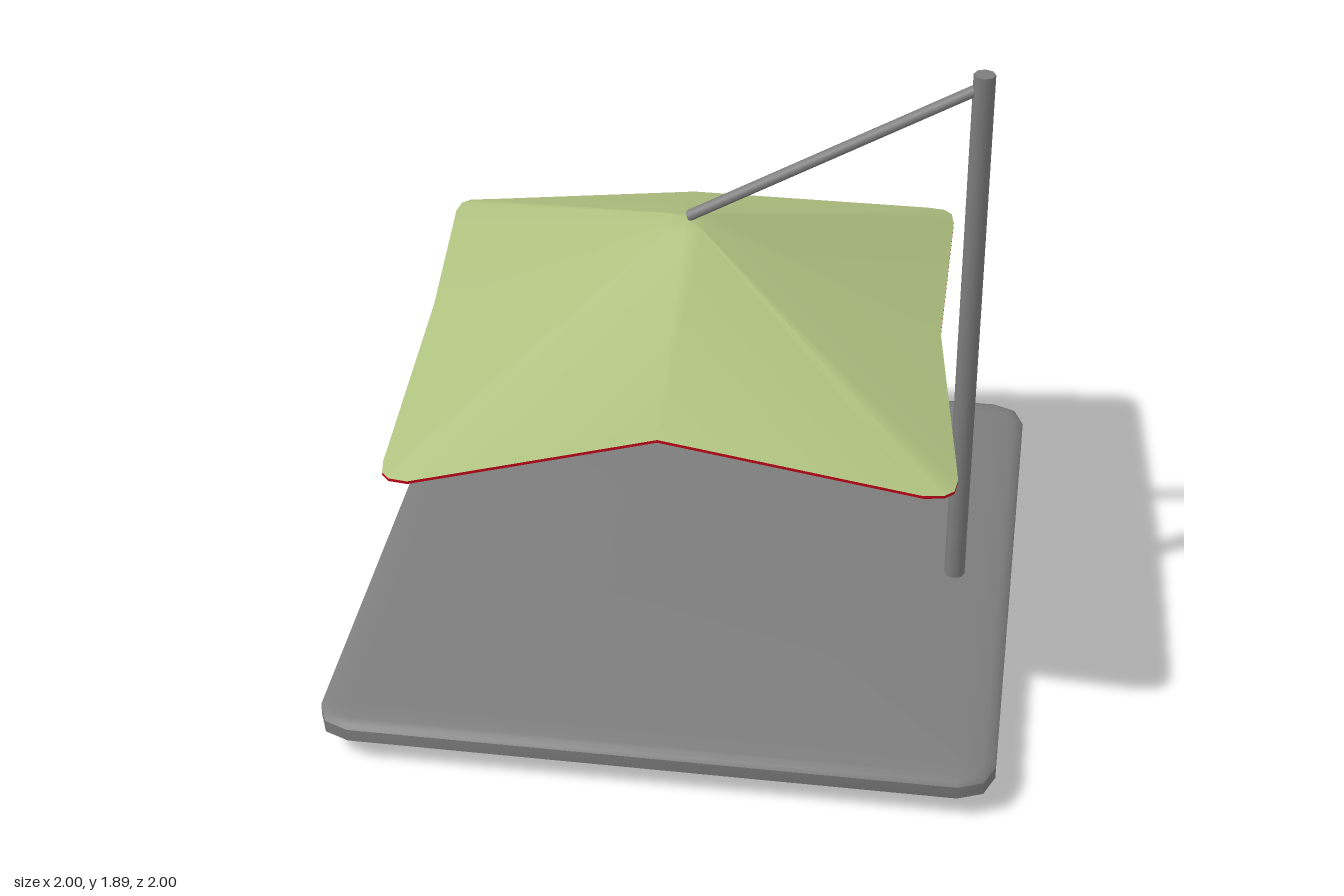
import * as THREE from 'three';
import { mergeVertices, toCreasedNormals } from 'three/addons/utils/BufferGeometryUtils.js';

const grey = new THREE.MeshStandardMaterial({ color: 0x7d7d7d, side: THREE.DoubleSide });
grey.name = 'grey';
const green = new THREE.MeshStandardMaterial({ color: 0xafc180 });
green.name = 'leafGreen';
const red = new THREE.MeshStandardMaterial({ color: 0xc60518 });
red.name = 'brightRed';

// Skin a stack of closed rings of equal length; rings run counter-clockwise from above.
function loft(rings) {
  const n = rings[0].length;
  const index = [];
  for (let r = 0; r < rings.length - 1; r++) {
    for (let i = 0; i < n; i++) {
      const a = r * n + i, b = r * n + (i + 1) % n;
      index.push(a, b, b + n, a, b + n, a + n);
    }
  }
  const geometry = new THREE.BufferGeometry();
  geometry.setAttribute('position', new THREE.Float32BufferAttribute(rings.flat(2), 3));
  geometry.setIndex(index);
  const merged = mergeVertices(geometry);
  // Drop triangles that collapsed at a pole
  const old = merged.index.array, kept = [];
  for (let i = 0; i < old.length; i += 3) {
    const [a, b, c] = [old[i], old[i + 1], old[i + 2]];
    if (a !== b && b !== c && c !== a) kept.push(a, b, c);
  }
  merged.setIndex(kept);
  merged.computeVertexNormals();
  return merged;
}

function part(name, geometry, material) {
  const mesh = new THREE.Mesh(geometry, material);
  mesh.name = name;
  return mesh;
}

// Bar between two points; depth widens its section along z
function bar(name, from, to, radius, depth = 1) {
  const a = new THREE.Vector3(...from), b = new THREE.Vector3(...to);
  const mesh = part(name, new THREE.CylinderGeometry(radius, radius, a.distanceTo(b), 8), grey);
  mesh.scale.z = depth;
  mesh.position.copy(a).add(b).multiplyScalar(0.5);
  mesh.quaternion.setFromUnitVectors(new THREE.Vector3(0, 1, 0), b.sub(a).normalize());
  return mesh;
}

// Square ring with rounded corners, pulled in by inset
function baseRing(inset, y) {
  const ring = [], radius = 0.105 - inset;
  for (let k = 0; k < 4; k++) {
    for (let s = 0; s < 3; s++) {
      const t = (k + s / 2) * Math.PI / 2;
      const cx = k < 2 ? 0.895 : -0.895;
      const cz = k === 0 || k === 3 ? 0.895 : -0.895;
      ring.push([cx + radius * Math.sin(t), y, cz + radius * Math.cos(t)]);
    }
  }
  return ring;
}

const flatRing = (n, x, y, z) => Array.from({ length: n }, () => [x, y, z]);

// Shallow tray turned upside down, open underneath
function createBase() {
  const rings = [
    baseRing(0, 0.075),
    baseRing(0, 0.115),
    baseRing(0.012, 0.126),
    baseRing(0.035, 0.134),
    baseRing(0.09, 0.14),
    flatRing(12, 0, 0.14, 0),
  ];
  return part('base', toCreasedNormals(loft(rings), 0.75), grey);
}

// Four-cornered canopy, slightly twisted, with raised edge middles
function createCanopy() {
  const cx = -0.03, apexY = 1.353, thickness = 0.009;
  const corner = [[0.775, 0.76], [0.832, 0.75], [0.858, 0.725], [0.865, 0.67]];
  const cornerY = [0.943, 0.946, 0.921, 0.922];
  const middles = [[0.74, 1.033, 0.05], [-0.12, 0.993, -0.78], [-0.8, 1.01, 0.06], [0, 1.073, 0.78]];

  const rim = [];
  for (let k = 0; k < 4; k++) {
    for (let [x, z] of corner) {
      for (let q = 0; q < k; q++) [x, z] = [z, -x];
      rim.push([cx + x, cornerY[k], z]);
    }
    rim.push(middles[k]);
  }
  const lift = (ring, dy) => ring.map(([x, y, z]) => [x, y + dy, z]);
  const upperRim = lift(rim, thickness);
  const t = 0.07;
  const crown = upperRim.map(([x, y, z]) =>
    [cx + (x - cx) * t, apexY + (y - apexY) * t + 0.01, z * t]);
  const tip = flatRing(rim.length, cx, apexY, 0);

  const canopy = new THREE.Group();
  canopy.name = 'canopy';
  canopy.add(
    part('canopyTop', loft([upperRim, crown, tip]), green),
    part('canopyRim', loft([rim, upperRim]), red),
    part('canopyLining', loft([lift(tip, -thickness), lift(crown, -thickness), rim]), red),
  );
  return canopy;
}

export function createModel() {
  const model = new THREE.Group();
  model.name = 'cantileverParasol';
  model.add(
    createBase(),
    bar('pole', [0.822, 0, 0.012], [0.822, 1.89, 0.012], 0.032),
    bar('strut', [-0.025, 1.355, -0.005], [0.822, 1.848, 0.004], 0.016, 1.45),
    createCanopy(),
  );
  return model;
}
